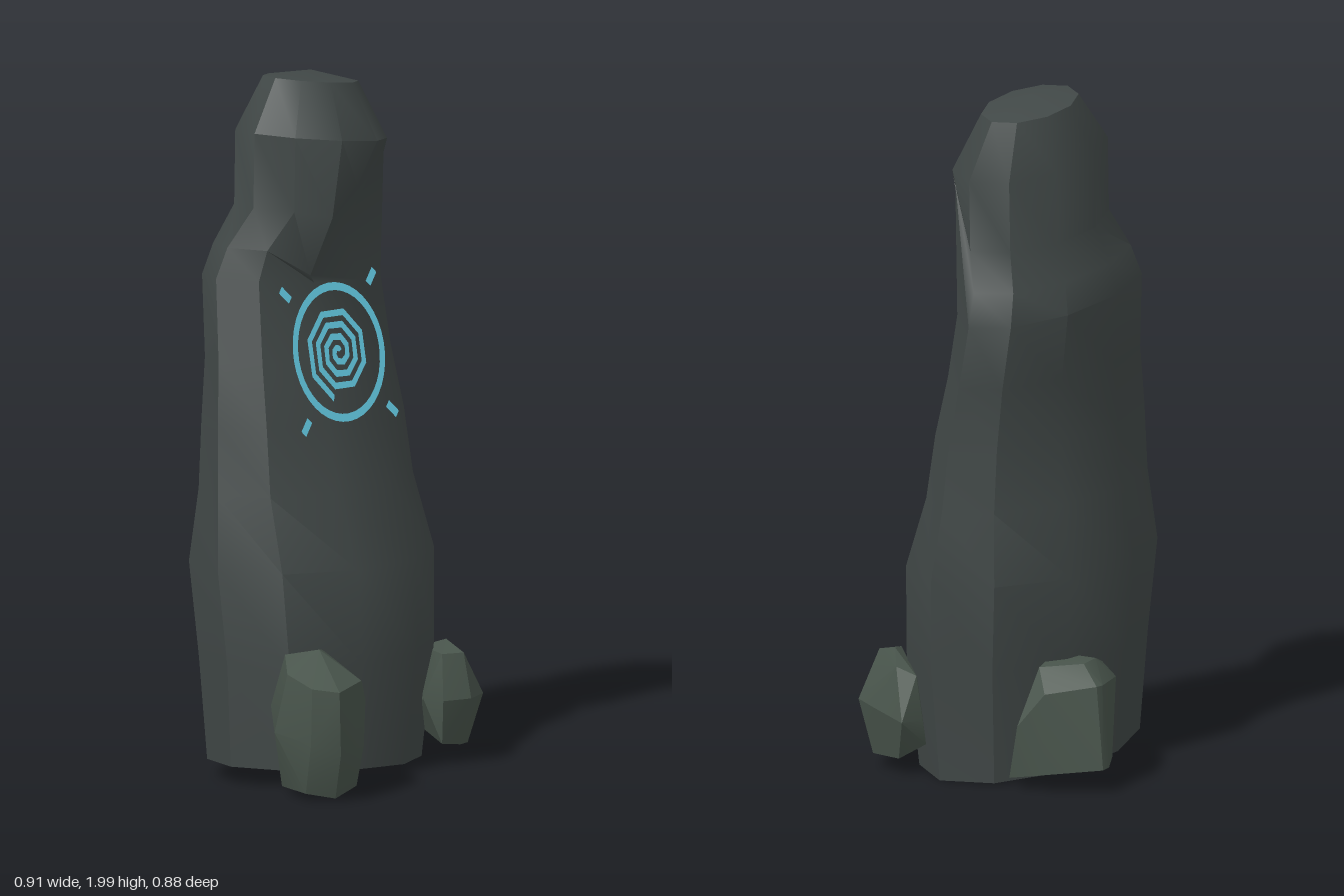
import * as THREE from 'three';
import { toCreasedNormals } from 'three/addons/utils/BufferGeometryUtils.js';
import { ConvexGeometry } from 'three/addons/geometries/ConvexGeometry.js';

const SIDES = 10;

// Stone cross-sections: height, xMin, xMax, zBack, zFront, slope of height along x,
// and optional moved corners { column: [x, y, z] }
const RINGS = [
  [0.035, -0.37, 0.375, -0.235, 0.24, -0.07],
  [0.35, -0.385, 0.41, -0.27, 0.275, 0],
  [0.62, -0.395, 0.44, -0.305, 0.255, -0.02],
  [0.83, -0.365, 0.42, -0.265, 0.165, -0.02],
  [1.02, -0.345, 0.41, -0.262, 0.13, -0.03],
  [1.2, -0.31, 0.395, -0.265, 0.08, -0.03],
  [1.41, -0.27, 0.4, -0.305, 0.035, -0.1],
  // recess under the brow
  [1.5, -0.235, 0.365, -0.285, 0.04, -0.1,
    { 1: [0.3, 1.76, 0.012], 2: [0.1, 1.56, 0.03], 3: [-0.06, 1.445, 0.04] }],
  // slanted brow edge
  [1.61, -0.17, 0.335, -0.26, 0.1, -0.12,
    { 1: [0.3, 1.775, 0.02], 2: [0.09, 1.69, 0.09], 3: [-0.04, 1.615, 0.105] }],
  [1.82, -0.165, 0.34, -0.26, 0.1, -0.14],
  [1.975, -0.045, 0.27, -0.217, 0.012, -0.14],
];

function ringPoints([y, x0, x1, z0, z1, slope, moved = {}]) {
  const cx = (x0 + x1) / 2, cz = (z0 + z1) / 2;
  const rx = (x1 - x0) / 2, rz = (z1 - z0) / 2 / Math.sin(Math.PI * 0.4);
  return Array.from({ length: SIDES }, (_, i) => {
    const a = (i / SIDES) * Math.PI * 2, dx = rx * Math.cos(a);
    return moved[i] ?? [cx + dx, y + slope * dx, cz + rz * Math.sin(a)];
  });
}

function stoneGeometry() {
  const pos = RINGS.flatMap((r) => ringPoints(r).flat());
  const index = [], top = (RINGS.length - 1) * SIDES, centre = RINGS.length * SIDES;
  pos.push(0, 0.03, 0, 0.11, 2, -0.1); // bottom and top centres
  for (let i = 0; i < SIDES; i++) {
    const n = (i + 1) % SIDES;
    for (let j = 0; j < top; j += SIDES) {
      index.push(j + i, j + SIDES + i, j + SIDES + n, j + i, j + SIDES + n, j + n);
    }
    index.push(centre, i, n, centre + 1, top + n, top + i);
  }
  const g = new THREE.BufferGeometry();
  g.setAttribute('position', new THREE.Float32BufferAttribute(pos, 3));
  g.setIndex(index);
  return toCreasedNormals(g, 0.6);
}

// Boulders as hulls of a few corners
const BOULDERS = {
  frontRightBoulder: [
    [-0.44, 0.37, 0.27], [-0.31, 0.425, 0.28], [-0.2, 0.4, 0.2], [-0.33, 0.4, 0.17],
    [-0.45, 0.34, 0.37], [-0.4, 0.33, 0.43], [-0.255, 0.34, 0.39], [-0.18, 0.32, 0.33],
    [-0.455, 0.2, 0.235], [-0.345, 0.25, 0.13], [-0.11, 0.25, 0.285], [-0.12, 0.05, 0.27],
    [-0.455, 0.18, 0.37], [-0.4, 0.15, 0.435], [-0.25, 0.15, 0.395], [-0.43, 0.03, 0.33],
    [-0.37, 0.015, 0.39], [-0.24, 0.03, 0.36], [-0.38, 0.03, 0.2], [-0.2, 0.03, 0.15],
  ],
  frontLeftBoulder: [
    [0.25, 0.33, 0.27], [0.34, 0.355, 0.21], [0.42, 0.33, 0.13], [0.4, 0.31, 0.07],
    [0.31, 0.33, 0.3], [0.225, 0.2, 0.295], [0.31, 0.2, 0.328], [0.4, 0.2, 0.297],
    [0.44, 0.2, 0.2], [0.455, 0.18, 0.075], [0.39, 0.18, 0.055], [0.225, 0.2, 0.22],
    [0.25, 0.07, 0.27], [0.32, 0.06, 0.28], [0.4, 0.05, 0.24], [0.42, 0.06, 0.12],
    [0.36, 0.1, 0.07],
  ],
  backBoulder: [
    [0, 0.34, -0.28], [0.08, 0.375, -0.33], [0.15, 0.375, -0.35], [0.25, 0.37, -0.27],
    [0.1, 0.37, -0.19], [0.135, 0.32, -0.41], [0.16, 0.32, -0.41], [0.13, 0.08, -0.43],
    [0.165, 0.08, -0.44], [-0.015, 0.3, -0.32], [-0.01, 0.06, -0.31], [0.27, 0.3, -0.31],
    [0.27, 0.06, -0.3], [0.31, 0.2, -0.24], [0.05, 0.03, -0.2], [0.3, 0.04, -0.2],
  ],
};

// Flat ribbon that winds outward in eight straight runs per turn
function spiralGeometry(turns, radius, width) {
  const steps = Math.round(turns * 8), inner = [], outer = [];
  for (let i = 1; i <= steps; i++) {
    const a = (i - 0.5) * Math.PI / 4, r = radius * i / steps;
    const at = (q) => new THREE.Vector2(Math.cos(a) * q, Math.sin(a) * q);
    inner.push(at(Math.max(r - width / 2, 0)));
    outer.push(at(r + width / 2));
  }
  return new THREE.ShapeGeometry(new THREE.Shape([...outer, ...inner.reverse()]));
}

export function createModel() {
  const model = new THREE.Group();
  model.name = 'carvedStandingStone';
  const stoneMat = new THREE.MeshStandardMaterial({ color: 0x414847 });
  const boulderMat = new THREE.MeshStandardMaterial({ color: 0x49554c });
  const glowMat = new THREE.MeshStandardMaterial({ color: 0x6ad8f2, side: THREE.DoubleSide });
  const add = (parent, name, geometry, material) => {
    const mesh = new THREE.Mesh(geometry, material);
    mesh.name = name;
    parent.add(mesh);
    return mesh;
  };

  add(model, 'standingStone', stoneGeometry(), stoneMat);

  for (const [name, corners] of Object.entries(BOULDERS)) {
    const hull = new ConvexGeometry(corners.map((c) => new THREE.Vector3(...c)));
    add(model, name, toCreasedNormals(hull, 0.4), boulderMat);
  }

  // Glowing emblem leaning back with the stone's face
  const emblem = new THREE.Group();
  emblem.name = 'emblem';
  emblem.position.set(0.003, 1.22, 0.093);
  emblem.rotation.x = -0.21;
  model.add(emblem);
  add(emblem, 'ring', new THREE.RingGeometry(0.177, 0.2, 40), glowMat);
  add(emblem, 'spiral', spiralGeometry(3.75, 0.137, 0.02), glowMat);
  for (let i = 0; i < 4; i++) {
    const a = Math.PI / 4 + i * Math.PI / 2;
    const ray = add(emblem, 'ray', new THREE.PlaneGeometry(0.05, 0.024), glowMat);
    ray.position.set(Math.cos(a) * 0.27, Math.sin(a) * 0.27, 0);
    ray.rotation.z = a;
  }
  return model;
}
